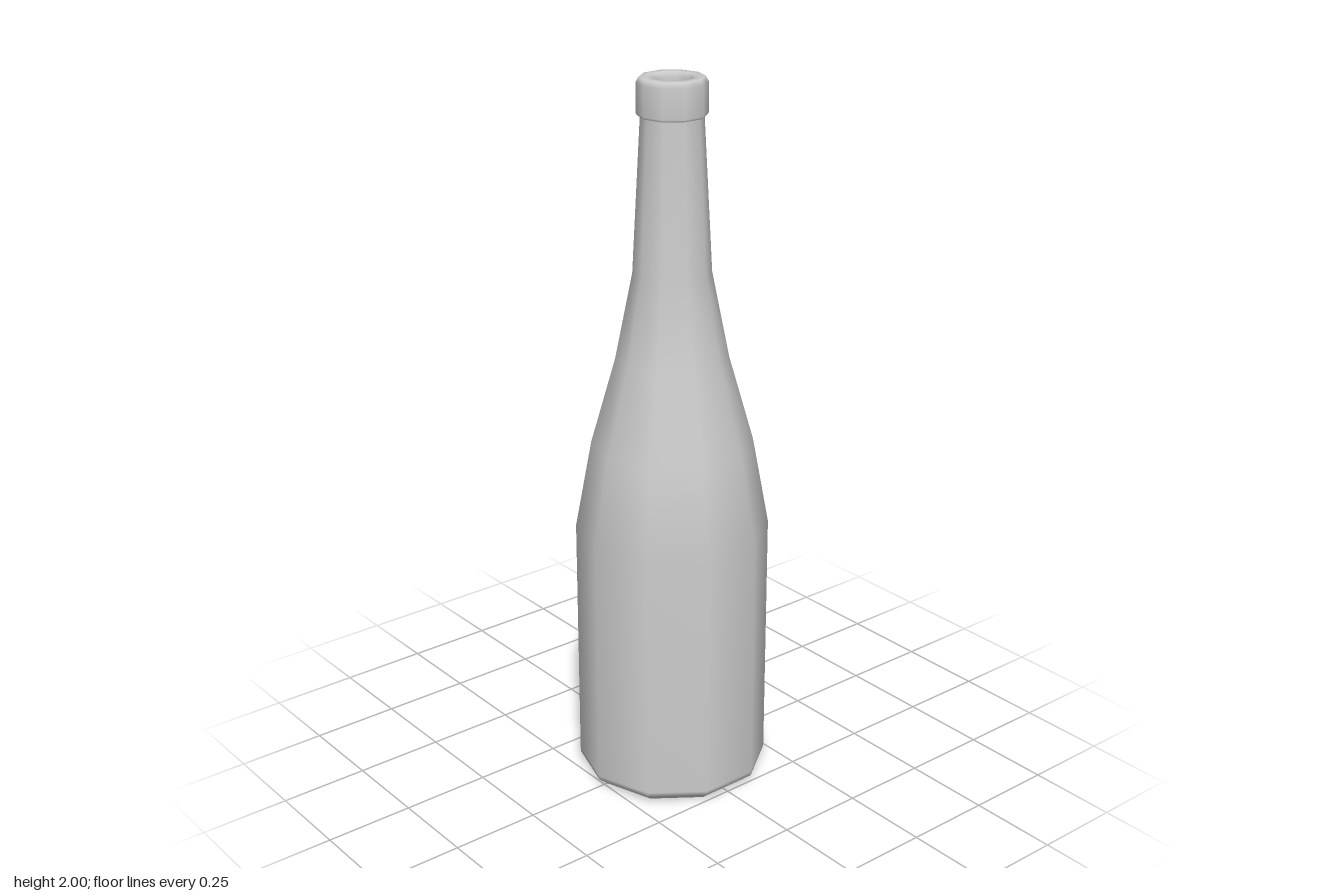
import * as THREE from 'three';

const SIDES = 10;

export function createModel() {
  const group = new THREE.Group();
  group.name = 'bottle';
  const material = new THREE.MeshStandardMaterial({ color: 0xcccccc });

  // Ten-sided turned part with a corner on +x; profile is [radius, height]
  const turn = (name, profile) => {
    const points = profile.map(([r, y]) => new THREE.Vector2(r, y));
    const geometry = new THREE.LatheGeometry(points, SIDES, Math.PI / 2);
    const mesh = new THREE.Mesh(geometry, material);
    mesh.name = name;
    group.add(mesh);
  };

  // Flat underside
  turn('base', [[0, 0], [0.24, 0]]);

  // Chamfered foot, straight body, sloping shoulder and tapering neck
  turn('body', [
    [0.24, 0], [0.267, 0.022], [0.268, 0.035], [0.268, 0.75], [0.222, 1.0],
    [0.154, 1.24], [0.106, 1.48], [0.083, 1.905],
  ]);

  // Collar: underside, then the outer band with a rounded rim into the mouth
  turn('collarUnderside', [[0.08, 1.9], [0.09, 1.9]]);
  turn('collar', [
    [0.09, 1.9], [0.094, 1.906], [0.094, 1.985], [0.086, 2.0],
    [0.062, 2.0], [0.051, 1.985], [0.051, 1.9],
  ]);

  // Hollow inside following the outer wall down to the floor
  turn('innerWall', [
    [0.051, 1.9], [0.075, 1.48], [0.124, 1.24], [0.19, 1.0],
    [0.236, 0.75], [0.236, 0.04],
  ]);
  turn('innerFloor', [[0.236, 0.04], [0, 0.04]]);

  return group;
}
